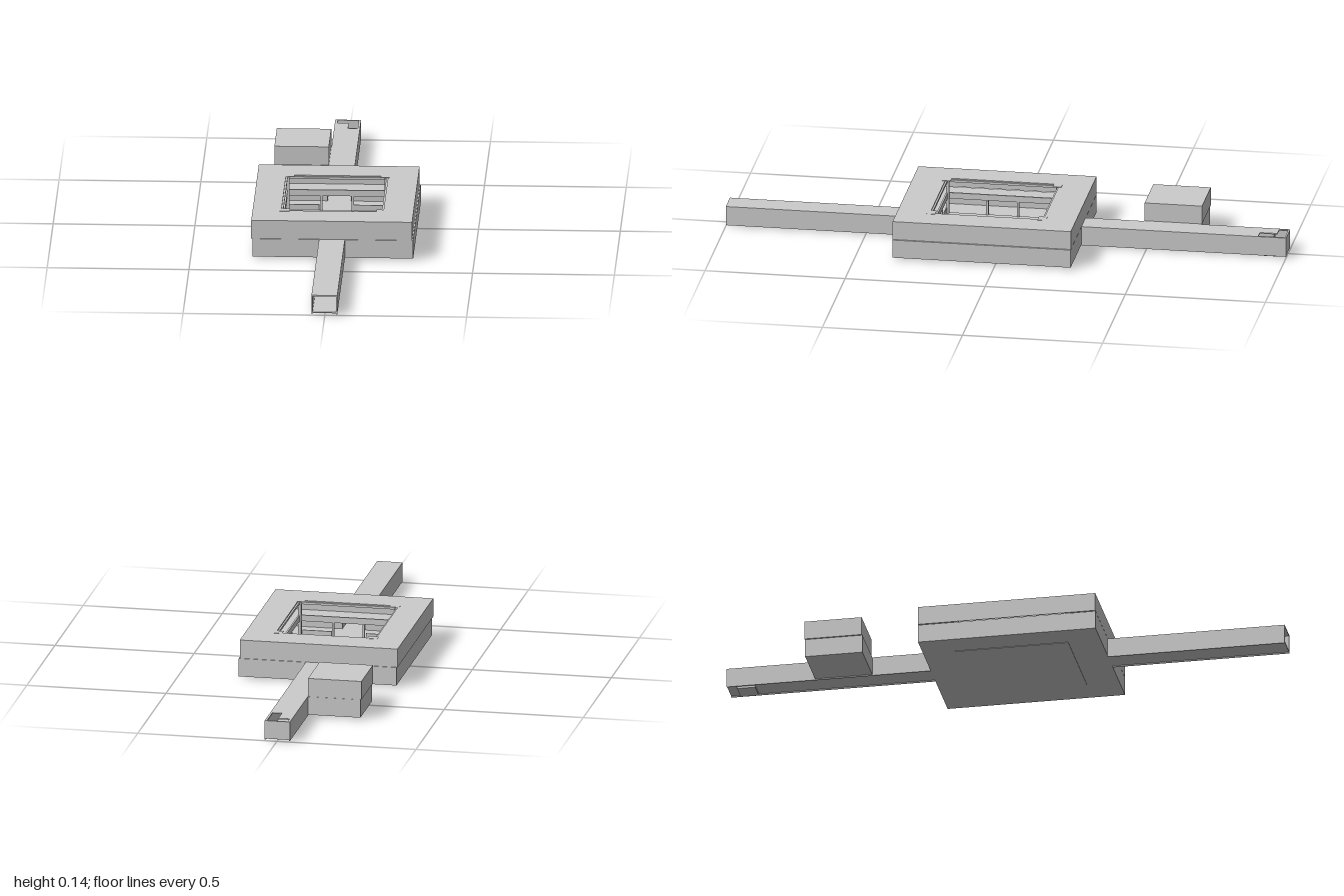
import * as THREE from 'three';

const material = new THREE.MeshStandardMaterial({ color: 0xcccccc, flatShading: true, side: THREE.DoubleSide });
const T = 0.004; // wall thickness

// Box given by its limits on each axis
function block(parent, name, x0, x1, y0, y1, z0, z1) {
  const mesh = new THREE.Mesh(new THREE.BoxGeometry(x1 - x0, y1 - y0, z1 - z0), material);
  mesh.position.set((x0 + x1) / 2, (y0 + y1) / 2, (z0 + z1) / 2);
  mesh.name = name;
  parent.add(mesh);
  return mesh;
}

const rect = (P, x0, x1, y0, y1) => new P().moveTo(x0, y0).lineTo(x1, y0).lineTo(x1, y1).lineTo(x0, y1).closePath();

// Horizontal slab with holes; outlines are in x and z, top face at y
function slab(parent, name, [x0, x1, z0, z1], y, holes = []) {
  const shape = rect(THREE.Shape, x0, x1, -z1, -z0);
  for (const points of holes) shape.holes.push(new THREE.Path(points.map(([x, z]) => new THREE.Vector2(x, -z))));
  const mesh = new THREE.Mesh(new THREE.ExtrudeGeometry(shape, { depth: T, bevelEnabled: false }), material);
  mesh.rotation.x = -Math.PI / 2;
  mesh.position.y = y - T;
  mesh.name = name;
  parent.add(mesh);
}

// Wall across z with an optional doorway [left, right, top]
function crossWall(parent, name, x0, x1, y0, y1, z, door) {
  const shape = new THREE.Shape().moveTo(x0, y0);
  if (door) shape.lineTo(door[0], y0).lineTo(door[0], door[2]).lineTo(door[1], door[2]).lineTo(door[1], y0);
  shape.lineTo(x1, y0).lineTo(x1, y1).lineTo(x0, y1).closePath();
  const mesh = new THREE.Mesh(new THREE.ExtrudeGeometry(shape, { depth: T, bevelEnabled: false }), material);
  mesh.position.z = z;
  mesh.name = name;
  parent.add(mesh);
}

function group(parent, name) {
  const g = new THREE.Group();
  g.name = name;
  parent.add(g);
  return g;
}

export function createModel() {
  const model = new THREE.Group();
  model.name = 'hallWithCorridors';
  const C0 = -0.047, C1 = 0.044, Y0 = 0.008, YM = 0.074, YT = 0.142;
  const door = [C0 + T, C1 - T, YM - T];

  // Two storeys of the hall, slightly offset from each other
  const hall = group(model, 'hall');
  const Z0 = -0.27, Z1 = 0.366;
  const court = [-0.185, 0.175, -0.155, 0.25];
  const [a, b, c, d] = court;
  const courtHole = [[a, c], [b, c], [b, d], [a, d]];
  const storeys = [
    ['lower', -0.282, 0.285, Y0, YM, door],
    ['upper', -0.286, 0.281, YM + 0.001, YT, null],
  ];
  for (const [name, x0, x1, y0, y1, opening] of storeys) {
    crossWall(hall, name + 'FrontWall', x0, x1, y0, y1 - T, Z1 - T, opening);
    crossWall(hall, name + 'BackWall', x0, x1, y0, y1 - T, Z0, opening);
    block(hall, name + 'RightWall', x0, x0 + T, y0, y1 - T, Z0 + T, Z1 - T);
    block(hall, name + 'LeftWall', x1 - T, x1, y0, y1 - T, Z0 + T, Z1 - T);
    slab(hall, name + 'Ceiling', [x0, x1, Z0, Z1], y1, [courtHole]);
  }
  slab(hall, 'hallFloor', [-0.282, 0.285, Z0, Z1], Y0 + T);
  block(hall, 'courtyardFloor', a, b, 0.006, 0.014, c, d);

  // Courtyard: corner posts, gallery beams and pairs of pillars
  const yard = group(hall, 'courtyard');
  const P = 0.012;
  for (const x of [a, b - P]) for (const z of [c, d - P]) block(yard, 'cornerPost', x, x + P, 0.014, YT - T, z, z + P);
  for (const [y0, y1] of [[0.068, 0.09], [0.13, 0.138]]) {
    for (const z of [c, d - 0.006]) block(yard, 'galleryBeam', a + P, b - P, y0, y1, z, z + 0.006);
    for (const x of [a, b - 0.006]) block(yard, 'galleryBeam', x, x + 0.006, y0, y1, c + P, d - P);
  }
  const midX = (a + b) / 2, midZ = (c + d) / 2;
  for (const s of [-0.055, 0.055]) {
    for (const z of [c, d - 0.008]) block(yard, 'pillar', midX + s - 0.004, midX + s + 0.004, 0.014, 0.068, z, z + 0.008);
    for (const x of [a, b - 0.008]) block(yard, 'pillar', x, x + 0.008, 0.014, 0.068, midZ + s - 0.004, midZ + s + 0.004);
  }
  for (const s of [-1, 1]) {
    const x = s < 0 ? a + P : midX + 0.06;
    for (const z of [c, d - 0.004]) block(yard, 'lowWall', x, x + 0.105, 0.014, 0.035, z, z + 0.004);
  }
  // Flat roof trims
  for (const x of [-0.173, 0.168]) for (const z of [-0.15, 0.245]) {
    block(hall, 'roofTrim', x - 0.018, x + 0.018, YT, YT + 0.001, z - 0.015, z + 0.015);
  }

  // Hollow corridors; the back one has an L-shaped stair opening
  const corridors = [
    ['frontCorridor', Z1, 1, []],
    ['backCorridor', -1, Z0, [[[-0.038, -0.994], [0.036, -0.994], [0.036, -0.9], [0.002, -0.9], [0.002, -0.962], [-0.038, -0.962]]]],
  ];
  for (const [name, z0, z1, holes] of corridors) {
    const g = group(model, name);
    block(g, 'rightWall', C0, C0 + T, 0.004, YM - T, z0, z1);
    block(g, 'leftWall', C1 - T, C1, 0.004, YM - T, z0, z1);
    slab(g, 'ceiling', [C0, C1, z0, z1], YM, holes);
    slab(g, 'floor', [C0 + T, C1 - T, z0, z1], Y0 + T);
  }
  const stairs = group(model, 'stairwell');
  block(stairs, 'endWall', C0 + T, C1 - T, Y0 + T, YM - T, -1, -1 + T);
  for (let i = 0; i < 5; i++) {
    block(stairs, 'step', 0.004, 0.036, Y0 + T, 0.02 + i * 0.009, -0.912 - i * 0.012, -0.9 - i * 0.012);
  }
  block(stairs, 'base', -0.035, 0.035, 0, Y0, -0.965, -0.9);
  // Small lattice panels seen at the end of the corridor
  for (const y of [0.014, 0.042]) {
    for (let i = 0; i < 4; i++) block(stairs, 'latticeBar', -0.032 + i * 0.009, -0.029 + i * 0.009, y, y + 0.016, -0.95, -0.948);
    for (let i = 0; i < 3; i++) block(stairs, 'latticeRail', -0.032, -0.002, y + i * 0.0065, y + 0.003 + i * 0.0065, -0.948, -0.946);
  }

  // Two-storey side room
  const room = group(model, 'sideRoom');
  block(room, 'lowerRoom', -0.236, C0, Y0, YM, -0.683, -0.478);
  block(room, 'upperRoom', -0.24, C0 - 0.001, YM + 0.001, YT, -0.685, -0.48);

  return model;
}
